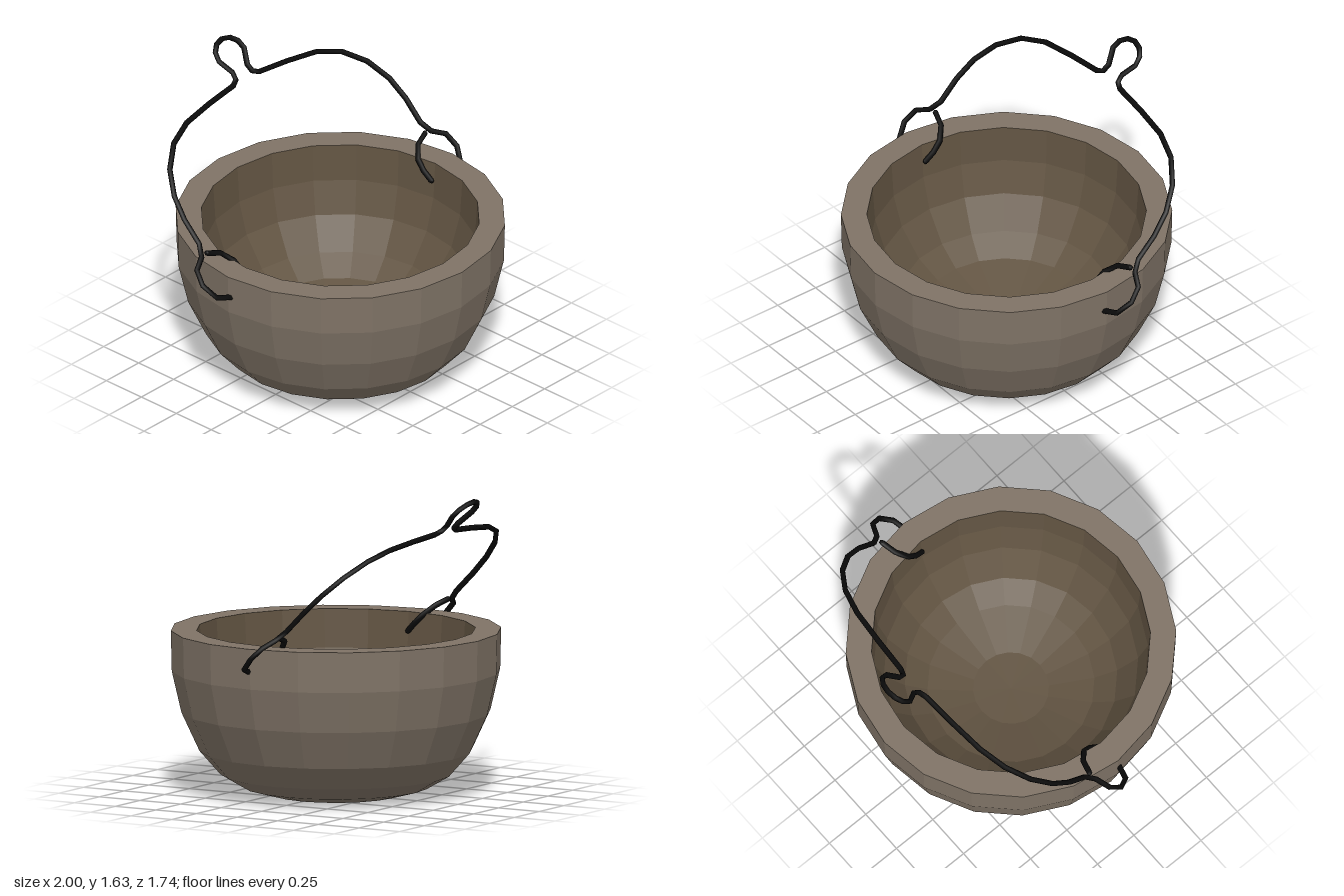
import * as THREE from 'three';

const SIDES = 20;
const WIRE = 0.015;

// Straight-segment path whose corners land exactly on the tube's rings
class Polyline extends THREE.Curve {
  constructor(points) {
    super();
    this.points = points;
  }
  getPoint(t, target = new THREE.Vector3()) {
    const last = this.points.length - 1;
    const s = Math.min(Math.max(t, 0), 1) * last;
    const i = Math.min(Math.floor(s), last - 1);
    return target.lerpVectors(this.points[i], this.points[i + 1], s - i);
  }
  getPointAt(t, target) { return this.getPoint(t, target); }
  getTangentAt(t, target) { return this.getTangent(t, target); }
}

// The whole handle lies in one plane leaning back at 45 degrees
const lean = ([x, y]) => new THREE.Vector3(x, y, 0.767 - y);
const mirror = ([x, y]) => [-x, y];

function wire(name, outline, material) {
  const points = outline.map(lean);
  const group = new THREE.Group();
  group.name = name;
  group.add(new THREE.Mesh(
    new THREE.TubeGeometry(new Polyline(points), points.length - 1, WIRE, 6), material));
  // Rounded wire ends
  for (const p of [points[0], points[points.length - 1]]) {
    const end = new THREE.Mesh(new THREE.SphereGeometry(WIRE, 6, 4), material);
    end.position.copy(p);
    group.add(end);
  }
  return group;
}

function lathe(name, profile, material) {
  const points = profile.map(([r, y]) => new THREE.Vector2(r, y));
  const mesh = new THREE.Mesh(new THREE.LatheGeometry(points, SIDES), material);
  mesh.name = name;
  return mesh;
}

export function createModel() {
  const model = new THREE.Group();
  model.name = 'cookingPot';
  const clay = new THREE.MeshStandardMaterial({ color: 0x7f7366, flatShading: true });
  const inside = new THREE.MeshStandardMaterial({ color: 0x625442, flatShading: true });
  const iron = new THREE.MeshStandardMaterial({ color: 0x0b0b0b });

  // Bowl: outer wall with flat rim, then the hollow
  model.add(lathe('bowlOuter', [
    [0, 0], [0.34, 0], [0.49, 0.04], [0.61, 0.11], [0.72, 0.235],
    [0.815, 0.44], [0.866, 0.66], [0.871, 0.875], [0.735, 0.875],
  ], clay));
  model.add(lathe('bowlInner', [
    [0.735, 0.875], [0.722, 0.67], [0.67, 0.49], [0.56, 0.325],
    [0.44, 0.235], [0.2, 0.165], [0, 0.16],
  ], inside));

  // Bail handle: half outline from the top loop down to the wall
  const half = [
    [0, 1.614], [0.05, 1.605], [0.087, 1.58], [0.097, 1.545], [0.057, 1.485],
    [0.063, 1.455], [0.1, 1.44], [0.3, 1.425], [0.5, 1.403], [0.65, 1.358],
    [0.765, 1.28], [0.833, 1.185], [0.857, 1.09], [0.857, 0.985], [0.89, 0.937],
    [0.965, 0.902], [0.985, 0.842], [0.945, 0.777], [0.85, 0.75],
  ];
  model.add(wire('bailHandle', [...half.slice(1).reverse().map(mirror), ...half], iron));

  // Hooks reaching over the rim into the bowl
  const hook = [[0.845, 0.941], [0.765, 0.917], [0.712, 0.868], [0.704, 0.82], [0.714, 0.775]];
  model.add(wire('leftHook', hook, iron));
  model.add(wire('rightHook', hook.map(mirror), iron));

  return model;
}
